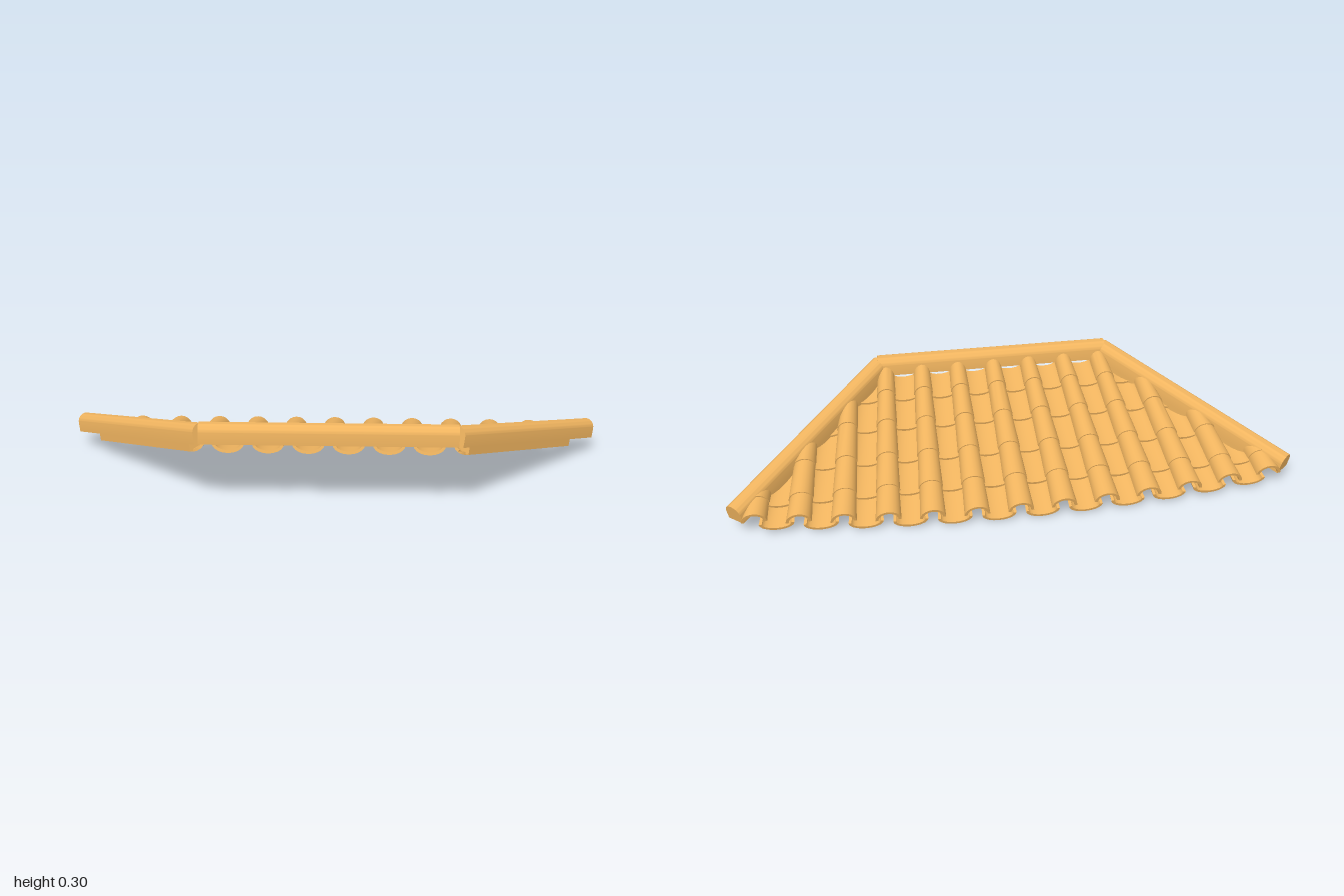
import * as THREE from 'three';
import { toCreasedNormals } from 'three/addons/utils/BufferGeometryUtils.js';

const clay = new THREE.MeshStandardMaterial({ color: 0xf0b45f });
const PITCH = Math.atan(0.29);
const COURSES = [0.34, 0.225, 0.08, -0.075, -0.22];

// Upper limit along the slope, set by the ridge and the two hips
const limit = (x) => Math.min(0.34, (0.335 - (Math.abs(x) - 0.435) * 1.14) / 0.96);
// Curved eave: tile rows near the hips are shorter
const eave = (x) => -0.372 + 0.06 * (x / 0.92) ** 2;
// Rows fan out gently towards the eave
const rowX = (k, v) => k * (0.1365 + 0.0165 * (0.33 - v) / 0.7);

// Half-round tile shell between two sections {v, w, h, n}; start 0 = arched, PI = trough
function tile(k, back, front, start) {
  const N = 10, T = 0.01, ring = 2 * (N + 1), pos = [], idx = [];
  for (const s of [back, front]) {
    for (let i = 0; i < ring; i++) {
      const inner = i > N;
      const a = start + Math.PI * (inner ? ring - 1 - i : i) / N;
      const x = rowX(k, s.v) + Math.cos(a) * (s.w - (inner ? T : 0));
      const y = s.n + Math.sin(a) * (s.h - (inner ? T : 0));
      pos.push(x, y, Math.min(s.v, limit(x)));
    }
  }
  for (let i = 0; i < ring; i++) {
    const j = (i + 1) % ring;
    idx.push(i, j, ring + j, i, ring + j, ring + i);
  }
  for (let i = 0; i < N; i++) {
    const c = ring - 2 - i, d = ring - 1 - i;
    idx.push(i, c, i + 1, i, d, c);
    idx.push(ring + i, ring + i + 1, ring + c, ring + i, ring + c, ring + d);
  }
  const g = new THREE.BufferGeometry();
  g.setAttribute('position', new THREE.Float32BufferAttribute(pos, 3));
  g.setIndex(idx);
  return toCreasedNormals(g, 0.7);
}

// One row of overlapping tiles running from ridge to eave
function tileRow(k, arched) {
  const row = new THREE.Group();
  row.name = arched ? 'coverTileRow' : 'panTileRow';
  COURSES.forEach((top, c) => {
    const last = c === COURSES.length - 1;
    const bottom = last ? eave(rowX(k, -0.35)) : COURSES[c + 1] - 0.015;
    const innerX = Math.max(0, Math.abs(rowX(k, bottom)) - 0.06);
    if (limit(innerX) < bottom + 0.005) return;
    let back, front;
    if (arched) {
      const w = (v) => 0.037 - 0.016 * v;
      back = { v: bottom, w: w(bottom) + 0.002, h: 0.044, n: 0.002 };
      front = { v: top, w: w(top) - 0.001, h: 0.041, n: 0 };
    } else {
      back = { v: bottom, w: 0.06, h: 0.036, n: last ? -0.004 : 0.004 };
      front = { v: top, w: 0.055, h: 0.034, n: -0.008 };
    }
    const m = new THREE.Mesh(tile(k, back, front, arched ? 0 : Math.PI), clay);
    m.name = arched ? 'coverTile' : 'panTile';
    row.add(m);
  });
  return row;
}

// Round-topped capping bar between two points
function capping(name, a, b) {
  const r = 0.033, s = new THREE.Shape();
  s.moveTo(-r, -0.032);
  s.lineTo(r, -0.032);
  s.lineTo(r, 0.003);
  s.absarc(0, 0.003, r, 0, Math.PI, false);
  s.closePath();
  const g = new THREE.ExtrudeGeometry(s, { depth: a.distanceTo(b), bevelEnabled: false, curveSegments: 16 });
  const m = new THREE.Mesh(toCreasedNormals(g, 0.6), clay);
  m.name = name;
  m.position.copy(a);
  m.lookAt(b);
  return m;
}

export function createModel() {
  const model = new THREE.Group();
  model.name = 'tiledRoof';

  // Sloping field of alternating cover and pan tiles
  const field = new THREE.Group();
  field.name = 'tileField';
  for (let k = -6; k <= 6; k++) field.add(tileRow(k, true));
  for (let k = -5.5; k <= 5.5; k++) field.add(tileRow(k, false));
  field.position.y = 0.146;
  field.rotation.x = -PITCH;
  model.add(field);

  // Ridge capping
  const V = (x, y, z) => new THREE.Vector3(x, y, z);
  model.add(capping('ridge', V(-0.437, 0.272, 0.333), V(0.437, 0.272, 0.333)));

  // Hip cappings, each with a bedding strip beneath
  for (const [side, label] of [[1, 'left'], [-1, 'right']]) {
    const a = V(side * 0.43, 0.269, 0.335), b = V(side * 0.975, 0.087, -0.28);
    model.add(capping(label + 'Hip', a, b));
    const p = a.clone().lerp(b, 0.05), q = a.clone().lerp(b, 0.82);
    const strip = new THREE.Mesh(new THREE.BoxGeometry(0.045, 0.035, p.distanceTo(q)), clay);
    strip.name = label + 'HipBedding';
    strip.position.copy(p).add(q).multiplyScalar(0.5);
    strip.position.y -= 0.045;
    strip.lookAt(q.x, q.y - 0.045, q.z);
    model.add(strip);
  }
  return model;
}
